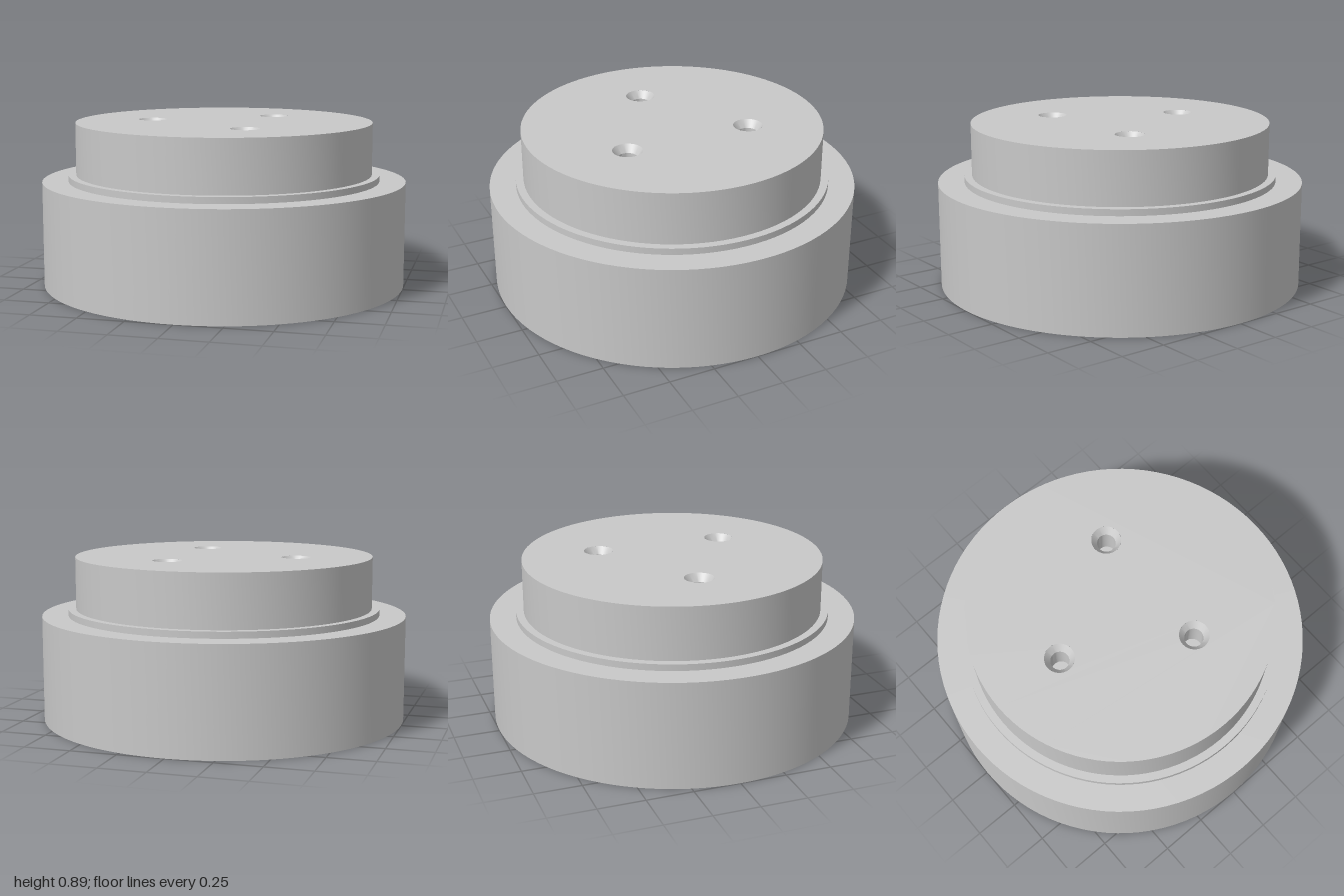
import * as THREE from 'three';
import { toCreasedNormals } from 'three/addons/utils/BufferGeometryUtils.js';

const FLOOR = 0.5; // underside of the web inside the base
const TOP = 0.895;
const NECK = 0.815; // radius of the upper step

export function createModel() {
  const model = new THREE.Group();
  model.name = 'ribbedHub';
  const grey = new THREE.MeshStandardMaterial({ color: 0xc8c8c8 });
  grey.name = 'grey';

  const add = (parent, name, geometry, x = 0, y = 0, z = 0) => {
    const mesh = new THREE.Mesh(geometry, grey);
    mesh.name = name;
    mesh.position.set(x, y, z);
    parent.add(mesh);
    return mesh;
  };
  const turned = (profile, sides) => toCreasedNormals(
    new THREE.LatheGeometry(profile.map(([r, y]) => new THREE.Vector2(r, y)), sides), 0.5);

  // Stepped body: bore, centre ring, hollow underside, outer wall, steps
  add(model, 'body', turned([
    [0, 0.23], [0.32, 0.23], [0.32, 0.2], [0.39, 0.2], [0.39, 0], [0.45, 0],
    [0.45, FLOOR], [0.92, FLOOR], [0.92, 0], [1, 0], [1, 0.575],
    [0.857, 0.575], [0.857, 0.61], [NECK, 0.61], [NECK, TOP],
  ], 96));

  // Top face with three countersunk blind holes
  const disc = new THREE.Shape().absarc(0, 0, NECK, 0, Math.PI * 2, false);
  const pocket = turned([[0.08, TOP], [0.05, TOP - 0.04], [0.05, 0.7], [0, 0.7]], 32);
  for (const degrees of [60, 180, 300]) {
    const a = THREE.MathUtils.degToRad(degrees);
    const x = 0.41 * Math.cos(a), z = 0.41 * Math.sin(a);
    disc.holes.push(new THREE.Path().absarc(x, -z, 0.08, 0, Math.PI * 2, true));
    add(model, 'screwHole', pocket, x, 0, z);
  }
  add(model, 'topFace', new THREE.ShapeGeometry(disc, 48).rotateX(-Math.PI / 2), 0, TOP, 0);

  // Underside: three sectors, each with a spoke, a boss and a tangent rib
  const bossShape = turned([
    [0, 0.4], [0.075, 0.4], [0.075, 0.035], [0.1, 0], [0.14, 0], [0.14, FLOOR],
  ], 40);
  const spokeShape = new THREE.BoxGeometry(0.52, FLOOR, 0.15);
  const ribShape = new THREE.BoxGeometry(0.07, FLOOR, 0.53);
  for (let i = 0; i < 3; i++) {
    const spokes = new THREE.Group();
    spokes.name = 'spokeSector';
    spokes.rotation.y = -THREE.MathUtils.degToRad(40 + i * 120);
    add(spokes, 'spoke', spokeShape, 0.69, FLOOR / 2, 0);

    const bosses = new THREE.Group();
    bosses.name = 'bossSector';
    bosses.rotation.y = -THREE.MathUtils.degToRad(i * 120);
    add(bosses, 'boss', bossShape, 0.7, 0, 0);
    add(bosses, 'tangentRib', ribShape, 0.7, FLOOR / 2, -0.385);
    model.add(spokes, bosses);
  }
  return model;
}
